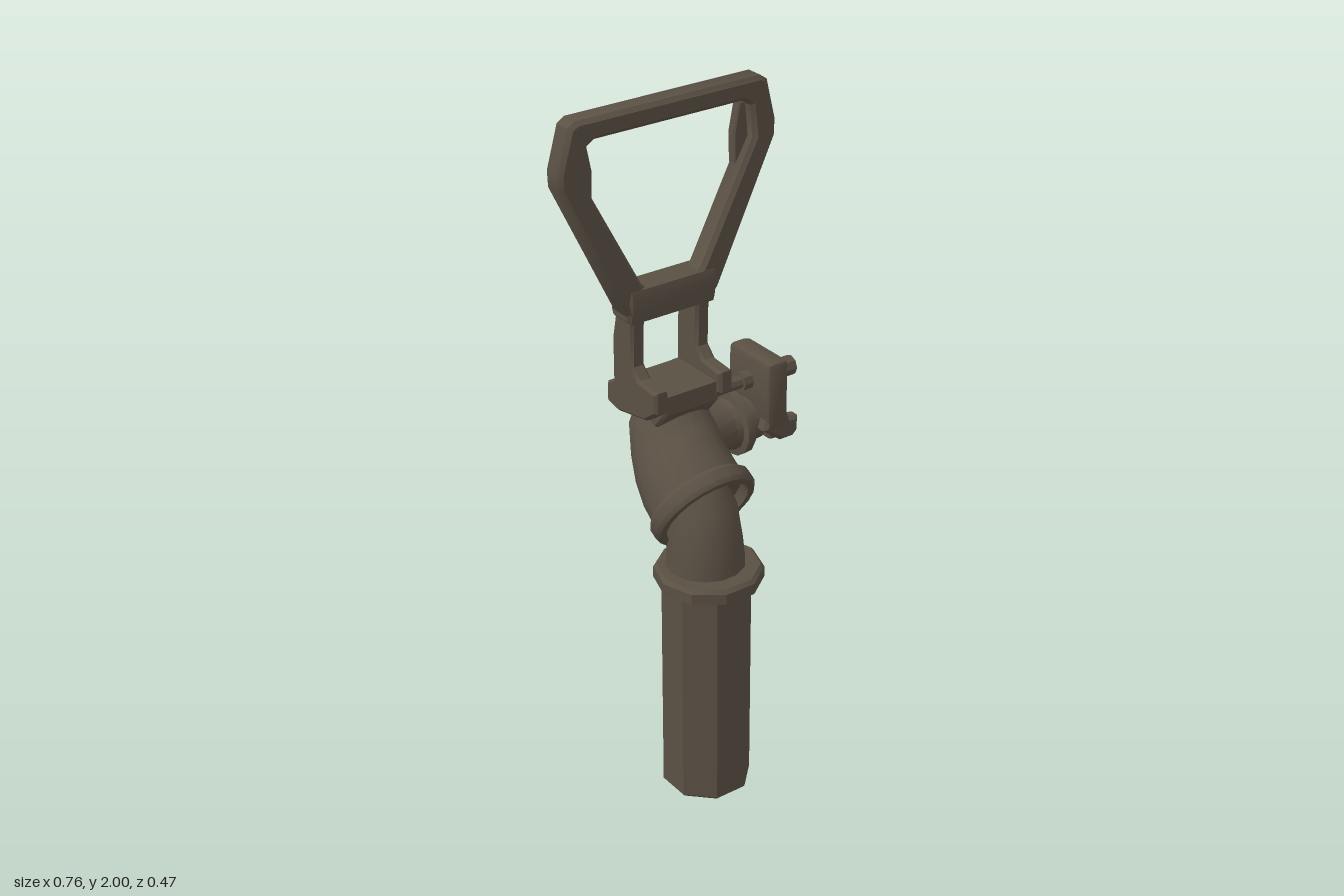
import * as THREE from 'three';
import { toCreasedNormals } from 'three/addons/utils/BufferGeometryUtils.js';
import { RoundedBoxGeometry } from 'three/addons/geometries/RoundedBoxGeometry.js';

const CX = -0.06; // axis of the grip and elbow

export function createModel() {
  const model = new THREE.Group();
  const iron = new THREE.MeshStandardMaterial({ color: 0x5a5044 });
  iron.name = 'dark iron';

  const add = (name, geometry, x = 0, y = 0, z = 0, crease = 0.6) => {
    const mesh = new THREE.Mesh(toCreasedNormals(geometry, crease), iron);
    mesh.name = name;
    mesh.position.set(x, y, z);
    model.add(mesh);
    return mesh;
  };
  const box = (name, w, h, d, x, y, z, r = 0.01) =>
    add(name, new RoundedBoxGeometry(w, h, d, 1, r), x, y, z);
  const lathe = (points, sides) =>
    new THREE.LatheGeometry(points.map(([r, y]) => new THREE.Vector2(r, y)), sides, Math.PI / sides);
  const polygon = (points) => new THREE.Shape(points.map(([x, y]) => new THREE.Vector2(x, y)));
  // Extrusion whose total depth and outline include the bevel
  const slab = (shape, depth, bevel) => new THREE.ExtrudeGeometry(shape, {
    depth: depth - 2 * bevel, bevelEnabled: true, bevelThickness: bevel,
    bevelSize: bevel, bevelOffset: -bevel, bevelSegments: 1,
  }).translate(0, 0, bevel);
  // Side profile given as [z, y], extruded along x
  const sideSlab = (points, width, bevel) =>
    slab(polygon(points.map(([z, y]) => [-z, y])), width, bevel).rotateY(Math.PI / 2);

  // Pipe from rings [x, y, z, radius, tilt back], with closed ends
  const pipe = (rings, sides) => {
    const pos = [], index = [];
    const first = rings[0], last = rings[rings.length - 1];
    for (const [x, y, z, r, tilt] of rings) {
      for (let i = 0; i < sides; i++) {
        const a = (i / sides) * Math.PI * 2, s = Math.sin(a) * r;
        pos.push(x + Math.cos(a) * r, y + s * Math.sin(tilt), z + s * Math.cos(tilt));
      }
    }
    for (let k = 0; k < rings.length - 1; k++) {
      for (let i = 0; i < sides; i++) {
        const a = k * sides + i, b = k * sides + (i + 1) % sides;
        index.push(a, a + sides, b, b, a + sides, b + sides);
      }
    }
    const c = rings.length * sides;
    pos.push(...first.slice(0, 3), ...last.slice(0, 3));
    for (let i = 0; i < sides; i++) {
      const j = (i + 1) % sides;
      index.push(c, i, j, c + 1, c - sides + j, c - sides + i);
    }
    const g = new THREE.BufferGeometry();
    g.setAttribute('position', new THREE.Float32BufferAttribute(pos, 3));
    g.setIndex(index);
    return g;
  };

  // Octagonal grip and collar
  add('grip', lathe([[0, 0], [0.12, 0], [0.127, 0.008], [0.127, 0.67], [0, 0.67]], 8), CX, 0, 0.08, 0.4);
  add('collar', lathe([[0, 0], [0.135, 0], [0.152, 0.01], [0.152, 0.042], [0.142, 0.052], [0, 0.052]], 10),
    CX, 0.67, 0.09);

  // Neck bending back into the hooded rim of the body
  add('neck', pipe([
    [CX, 0.71, 0.075, 0.112, 0], [CX, 0.78, 0.072, 0.106, 0.15],
    [CX, 0.86, 0.05, 0.106, 0.5], [CX, 0.92, 0, 0.1, 0.9],
  ], 14), 0, 0, 0, 0.7);
  const rim = add('rim', lathe([
    [0.125, 0.05], [0.128, 0], [0.148, 0], [0.156, 0.012], [0.156, 0.042], [0.144, 0.056], [0.125, 0.05],
  ], 20), CX, 0.88, 0.085);
  rim.rotation.x = -1.04;

  // Body rising to the clamp
  add('body', pipe([
    [CX, 0.895, 0.055, 0.142, 1.04], [CX, 0.935, 0, 0.14, 0.97],
    [-0.055, 0.975, -0.05, 0.133, 0.85], [-0.045, 1.02, -0.09, 0.125, 0.6],
    [-0.04, 1.075, -0.12, 0.112, 0.25], [-0.035, 1.13, -0.125, 0.088, 0],
  ], 16), 0, 0, 0, 0.5);

  // Side outlet with flange
  const outlet = add('sideOutlet', lathe([
    [0, 0], [0.1, 0], [0.082, 0.08], [0.07, 0.15], [0.075, 0.168], [0.094, 0.172],
    [0.094, 0.196], [0.066, 0.2], [0.066, 0.25], [0, 0.25],
  ], 14), 0, 0.985, -0.13);
  outlet.rotation.z = -Math.PI / 2;

  // Clamp plate, its hooked foot and the screw
  box('clampPlate', 0.07, 0.21, 0.19, 0.265, 1.085, -0.12, 0.016);
  for (const z of [-0.19, -0.05]) {
    add('clampLug', slab(polygon([
      [0.235, 1.03], [0.295, 1.03], [0.31, 1.005], [0.34, 1], [0.34, 0.955], [0.325, 0.94], [0.28, 0.94], [0.22, 0.985],
    ]), 0.044, 0.01), 0, 0, z - 0.022);
  }
  box('clampFoot', 0.07, 0.05, 0.15, 0.285, 0.967, -0.12);
  const screw = (name, r, from, to, sides) => {
    const m = add(name, new THREE.CylinderGeometry(r, r, to - from, sides), (from + to) / 2, 1.112, -0.12);
    m.rotation.z = Math.PI / 2;
  };
  screw('screwRod', 0.019, 0.03, 0.35, 8);
  screw('screwCollar', 0.027, 0.2, 0.235, 8);
  screw('screwHead', 0.029, 0.338, 0.38, 8);

  // Clevis block and the two bent arms
  add('clevisBlock', sideSlab([
    [-0.015, 1.15], [-0.015, 1.205], [-0.19, 1.205], [-0.205, 1.18], [-0.205, 1.12], [-0.18, 1.095], [-0.06, 1.095],
  ], 0.18, 0.008), -0.127);
  for (const x of [-0.168, 0.043]) {
    add('clevisArm', sideSlab([
      [-0.088, 1.47], [-0.105, 1.38], [-0.108, 1.27], [-0.08, 1.242], [0, 1.235], [0, 1.172], [-0.05, 1.135],
      [-0.18, 1.11], [-0.232, 1.12], [-0.232, 1.18], [-0.2, 1.2], [-0.2, 1.33], [-0.172, 1.46],
    ], 0.044, 0.008), x);
  }

  // Handle frame with its crossbar
  const frame = polygon([
    [-0.33, 2], [0.24, 2], [0.262, 1.985], [0.29, 1.87], [0.288, 1.825], [0.105, 1.44], [0.085, 1.415],
    [-0.175, 1.415], [-0.197, 1.44], [-0.383, 1.825], [-0.385, 1.87], [-0.352, 1.985],
  ]);
  frame.holes.push(new THREE.Path([
    [-0.275, 1.942], [-0.302, 1.925], [-0.312, 1.835], [-0.14, 1.51], [-0.125, 1.498],
    [0.035, 1.498], [0.05, 1.51], [0.218, 1.835], [0.208, 1.925], [0.182, 1.942],
  ].map(([x, y]) => new THREE.Vector2(x, y))));
  add('handleFrame', slab(frame, 0.07, 0.011), 0, 0, -0.156);
  add('crossbar', sideSlab([
    [-0.085, 1.5], [-0.078, 1.47], [-0.09, 1.405], [-0.165, 1.405], [-0.176, 1.43], [-0.155, 1.505],
  ], 0.285, 0.01), -0.188);

  // Small webs inside the upper corners
  for (const side of [-1, 1]) {
    const web = polygon([[0.238, 1.93], [0.262, 1.93], [0.268, 1.83], [0.225, 1.76], [0.222, 1.85]]
      .map(([x, y]) => [side * x - 0.047, y]));
    add('cornerWeb', slab(web, 0.03, 0.004), 0, 0, -0.148);
  }
  return model;
}
